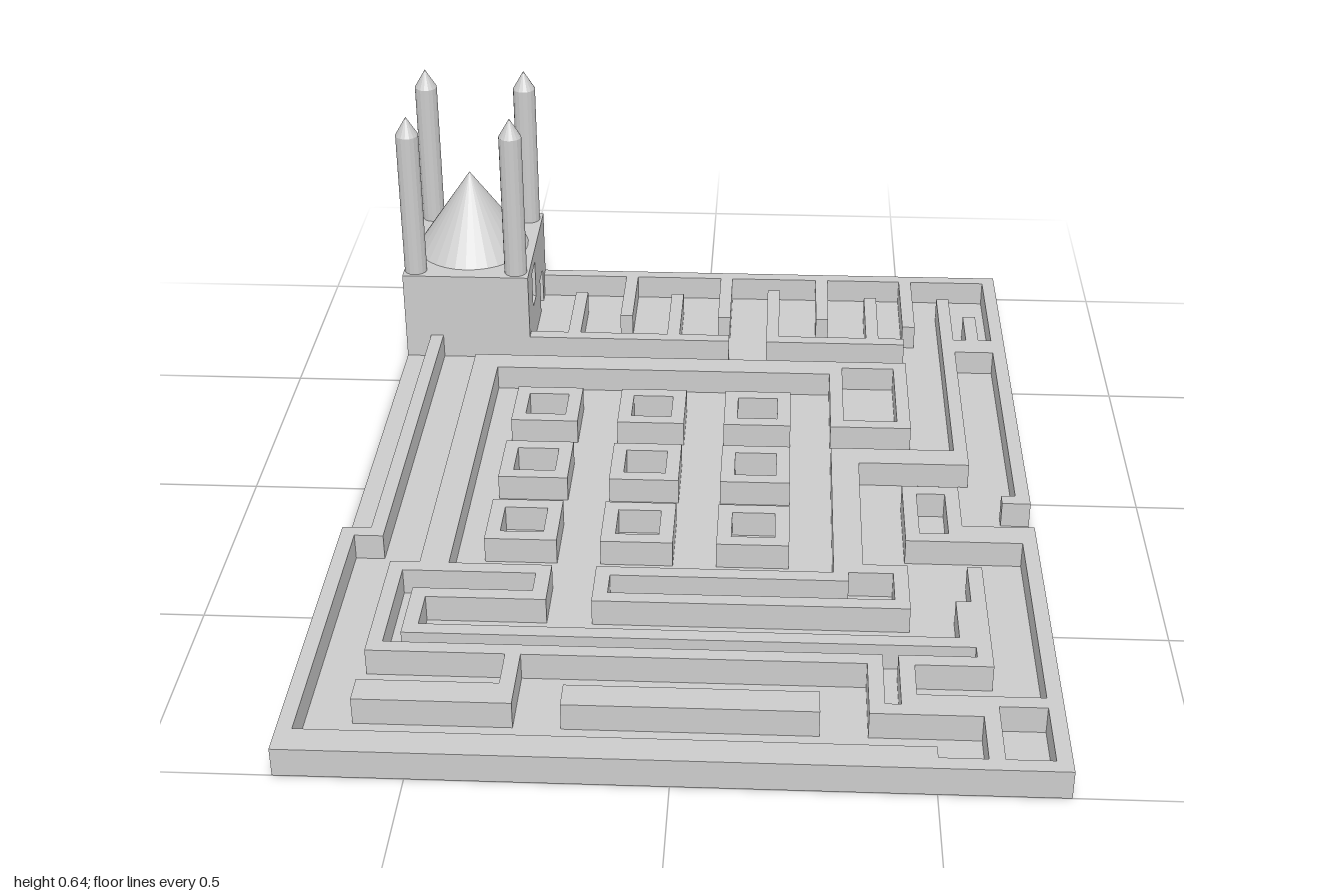
import * as THREE from 'three';
import { mergeGeometries } from 'three/addons/utils/BufferGeometryUtils.js';

const U = 1 / 32;          // one cell of the 48 x 64 plan
const WALL_H = 2 * U;      // height of the maze walls
const FLOOR_H = 0.003;
const HOUSE_H = 0.228;

const material = new THREE.MeshStandardMaterial({ color: 0xcccccc, flatShading: true });

function mesh(name, geometry, x = 0, y = 0, z = 0) {
  const m = new THREE.Mesh(geometry, material);
  m.name = name;
  m.position.set(x, y, z);
  return m;
}

// Maze walls from plan rectangles [col0, row0, col1, row1]
function walls(name, rects) {
  const boxes = rects.map(([c0, r0, c1, r1]) =>
    new THREE.BoxGeometry((c1 - c0) * U, WALL_H, (r1 - r0) * U)
      .translate((c0 + c1) * U / 2 - 0.75, WALL_H / 2, (r0 + r1) * U / 2 - 1));
  return mesh(name, mergeGeometries(boxes));
}

// Four one-cell walls around a rectangular pit
function ring(c0, r0, c1, r1) {
  return [
    [c0, r0, c1, r0 + 1], [c0, r1 - 1, c1, r1],
    [c0, r0 + 1, c0 + 1, r1 - 1], [c1 - 1, r0 + 1, c1, r1 - 1],
  ];
}

// Upright panel with rectangular openings [u0, v0, u1, v1]
function panel(width, openings) {
  const rect = (path, a, b, c, d) =>
    path.moveTo(a, b).lineTo(c, b).lineTo(c, d).lineTo(a, d).closePath();
  const shape = new THREE.Shape();
  rect(shape, 0, 0, width, HOUSE_H - U);
  for (const o of openings) {
    const hole = new THREE.Path();
    rect(hole, ...o);
    shape.holes.push(hole);
  }
  return new THREE.ExtrudeGeometry(shape, { depth: U, bevelEnabled: false });
}

function createMaze() {
  const maze = new THREE.Group();
  maze.name = 'maze';

  maze.add(walls('outerWall', [
    [10, 0, 48, 1], [47, 1, 48, 11], [43, 11, 48, 13], [47, 13, 48, 34], [46, 34, 48, 35],
    [47, 40, 48, 63], [40, 63, 48, 64], [0, 62, 40, 64],
    [0, 41, 1, 62], [0, 40, 3, 41], [2, 12, 3, 40],
  ]));

  // Interlocking teeth along the back
  const hanging = [[17, 8], [25, 8], [33, 8], [40, 9]].map(([c, r]) => [c, 1, c + 1, r]);
  const rising = [[13, 4], [21, 4], [29, 3], [37, 4], [43, 4], [45, 7]].map(([c, r]) => [c, r, c + 1, 11]);
  maze.add(walls('backTeeth', [...hanging, ...rising, [10, 11, 26, 12], [29, 11, 40, 12]]));

  // Wall around the central court, with the pit at its corner
  maze.add(walls('courtWall', [[6, 15, 34, 17], [6, 17, 8, 44], ...ring(34, 15, 40, 25)]));

  // Winding wall in front of the court
  maze.add(walls('frontWindingWall', [
    [4, 44, 15, 45], [14, 45, 15, 47], [6, 47, 15, 48], [6, 48, 7, 51], [6, 51, 42, 52],
    [4, 45, 5, 53], [4, 53, 37, 54], [38, 53, 44, 54],
    [43, 43, 44, 47], [42, 47, 44, 52], [43, 52, 44, 53],
    [13, 54, 14, 57], [4, 57, 14, 59],
    [36, 54, 37, 59], [38, 54, 39, 58], [39, 57, 47, 58], [37, 58, 44, 59], [43, 59, 44, 63],
  ]));
  maze.add(walls('frontIsland', [[17, 57, 33, 59]]));

  // Wall on the right of the court, ending in a long trough
  maze.add(walls('sideWindingWall', [
    [43, 13, 44, 28], [34, 28, 44, 30], [34, 30, 36, 44], [36, 43, 39, 44],
    [38, 44, 39, 47], [18, 47, 39, 48], [18, 44, 19, 47], [19, 44, 35, 45],
  ]));
  maze.add(walls('gateWall', [...ring(39, 33, 43, 40), [43, 38, 48, 40]]));

  // Three by three square planters
  for (const c of [10, 18, 26]) {
    for (const r of [20, 28, 36]) maze.add(walls('planter', ring(c, r, c + 5, r + 5)));
  }
  return maze;
}

function createHouse() {
  const house = new THREE.Group();
  house.name = 'domedHouse';
  const W = 10 * U, D = 12 * U;
  house.position.set(-0.75, 0, -1);

  // Side walls run along z, front and back walls fit between them
  const window_ = [0.22, 0.1, 0.285, 0.195];
  const sideDoor = [0.0625, FLOOR_H, 0.125, 0.095];
  const backDoor = [0.125 - U, FLOOR_H, 0.2 - U, 0.105];
  house.add(mesh('innerSideWall', panel(D, [window_, sideDoor]).rotateY(-Math.PI / 2), W));
  house.add(mesh('outerSideWall', panel(D, [window_]).rotateY(-Math.PI / 2), U));
  house.add(mesh('backWall', panel(W - 2 * U, [backDoor]), U));
  house.add(mesh('frontWall', panel(W - 2 * U, []), U, 0, D - U));
  house.add(mesh('roof', new THREE.BoxGeometry(W, U, D), W / 2, HOUSE_H - U / 2, D / 2));

  // Conical dome, slightly longer front to back
  const dome = new THREE.ConeGeometry(0.14, 0.202, 32).scale(1, 1, 1.06);
  house.add(mesh('dome', dome, 0.153, HOUSE_H + 0.101, 0.188));

  // Corner towers with pointed caps
  for (const x of [0.029, 0.279]) {
    for (const z of [0.033, 0.34]) {
      const tower = new THREE.Group();
      tower.name = 'tower';
      tower.position.set(x, HOUSE_H, z);
      tower.add(mesh('towerShaft', new THREE.CylinderGeometry(0.028, 0.028, 0.364, 16), 0, 0.182, 0));
      tower.add(mesh('towerCap', new THREE.ConeGeometry(0.028, 0.047, 16), 0, 0.3875, 0));
      house.add(tower);
    }
  }
  return house;
}

export function createModel() {
  const model = new THREE.Group();
  model.name = 'mazeGarden';
  model.add(mesh('floor', new THREE.BoxGeometry(1.5, FLOOR_H, 2), 0, FLOOR_H / 2, 0));
  model.add(createMaze(), createHouse());
  return model;
}
